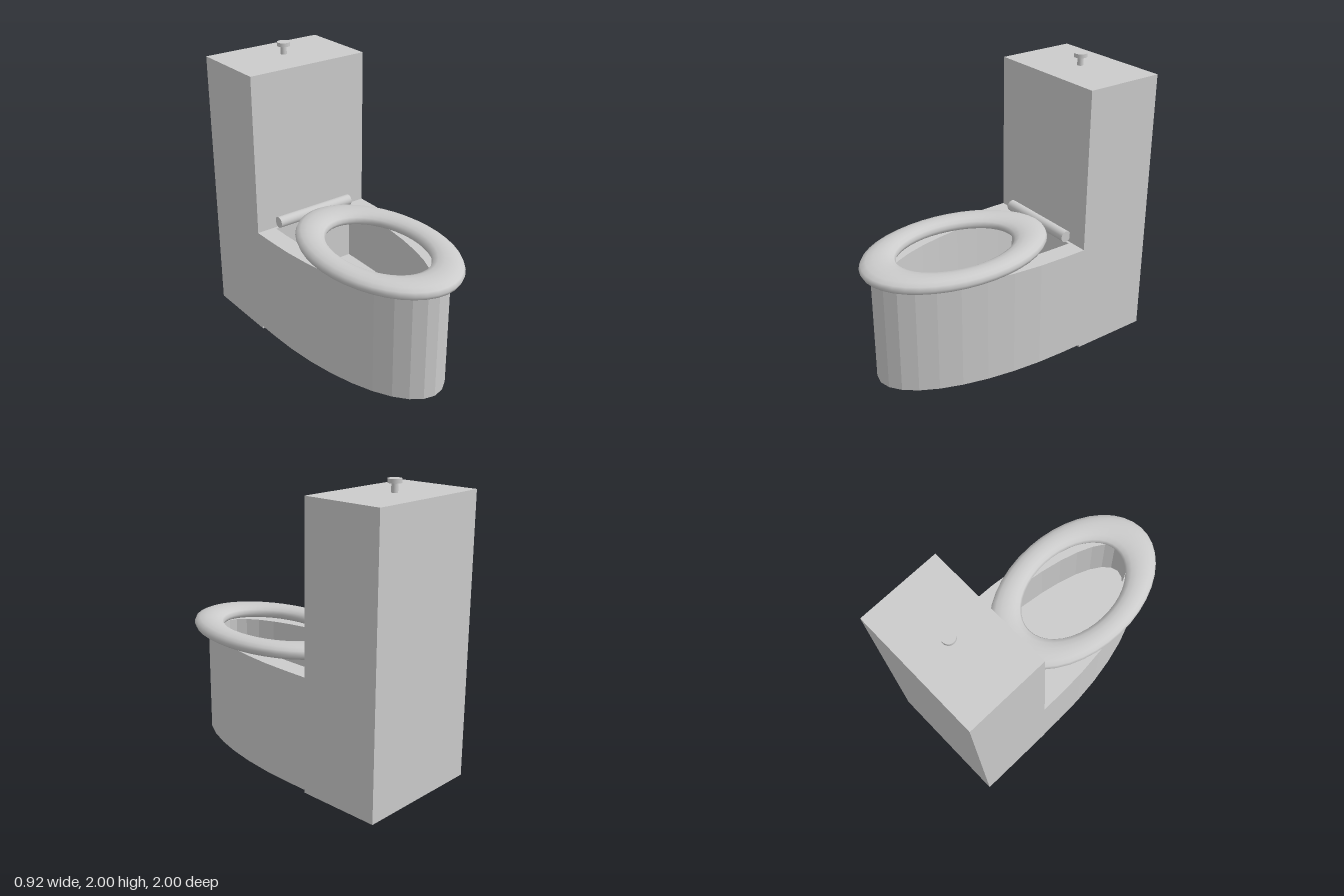
import * as THREE from 'three';

const CX = -0.005;   // shared centre line of tank and bowl
const BACK = -0.43;  // plane where the bowl meets the tank

export function createModel() {
  const model = new THREE.Group();
  const smooth = new THREE.MeshStandardMaterial({ color: 0xcccccc });
  const flat = new THREE.MeshStandardMaterial({ color: 0xcccccc, flatShading: true, side: THREE.DoubleSide });

  const add = (name, geometry, x, y, z, material = smooth) => {
    const mesh = new THREE.Mesh(geometry, material);
    mesh.name = name;
    mesh.position.set(x, y, z);
    model.add(mesh);
    return mesh;
  };

  // Plan outline: straight back corners joined by a faceted half ellipse, as (x, z)
  const outline = (rx, rz, back, steps = 18) => {
    const pts = [new THREE.Vector2(rx, back)];
    for (let i = 0; i <= steps; i++) {
      const a = (i / steps) * Math.PI;
      pts.push(new THREE.Vector2(rx * Math.cos(a), -0.28 + rz * Math.sin(a)));
    }
    pts.push(new THREE.Vector2(-rx, back));
    return pts;
  };

  // Vertical wall along an outline
  const wall = (pts, y0, y1) => {
    const pos = [], index = [];
    pts.forEach((p, i) => {
      pos.push(p.x, y0, p.y, p.x, y1, p.y);
      if (i) {
        const a = 2 * (i - 1);
        index.push(a, a + 1, a + 2, a + 1, a + 3, a + 2);
      }
    });
    const g = new THREE.BufferGeometry();
    g.setAttribute('position', new THREE.Float32BufferAttribute(pos, 3));
    g.setIndex(index);
    g.computeVertexNormals();
    return g;
  };

  // Horizontal face filling an outline, facing up
  const plate = (pts, hole) => {
    const flip = (list) => list.map((p) => new THREE.Vector2(p.x, -p.y));
    const shape = new THREE.Shape(flip(pts));
    if (hole) shape.holes.push(new THREE.Path(flip(hole)));
    return new THREE.ShapeGeometry(shape).rotateX(-Math.PI / 2);
  };

  // Tank
  add('tank', new THREE.BoxGeometry(0.91, 1.915, 0.57), CX, 0.9575, -0.715);

  // Flush button
  add('buttonStem', new THREE.CylinderGeometry(0.021, 0.021, 0.07, 20), CX, 1.945, -0.73);
  add('buttonCap', new THREE.CylinderGeometry(0.045, 0.045, 0.027, 24), CX, 1.9865, -0.73);

  // Bowl: open-bottomed outer shell, flat rim, inner wall and floor
  const outer = outline(0.455, 1.21, BACK);
  const inner = outline(0.32, 1.08, BACK + 0.02);
  add('bowlShell', wall(outer, 0.02, 0.79), CX, 0, 0, flat);
  add('bowlRim', plate(outer, inner), CX, 0.79, 0, flat);
  add('bowlInnerWall', wall([...inner, inner[0]].reverse(), 0.37, 0.79), CX, 0, 0, flat);
  add('bowlFloor', plate(inner), CX, 0.37, 0, flat);

  // Seat: oval ring with a flattened, slightly squared section
  const seat = new THREE.TorusGeometry(0.37, 0.085, 14, 40).rotateX(-Math.PI / 2);
  const p = seat.attributes.position;
  for (let i = 0; i < p.count; i++) {
    const h = p.getY(i) / 0.085;
    p.setXYZ(i, p.getX(i), 0.05 * Math.sign(h) * Math.abs(h) ** 0.8, p.getZ(i) * 1.515);
  }
  // Analytic normals keep the ring seamless
  const n = seat.attributes.normal;
  for (let i = 0; i < n.count; i++) {
    const v = new THREE.Vector3(n.getX(i), n.getY(i) / 0.58, n.getZ(i) / 1.515).normalize();
    n.setXYZ(i, v.x, v.y, v.z);
  }
  add('seat', seat, 0.002, 0.84, 0.308);

  // Hinge bar
  add('hinge', new THREE.CylinderGeometry(0.04, 0.04, 0.61, 20).rotateZ(Math.PI / 2), CX, 0.84, -0.397);

  return model;
}
